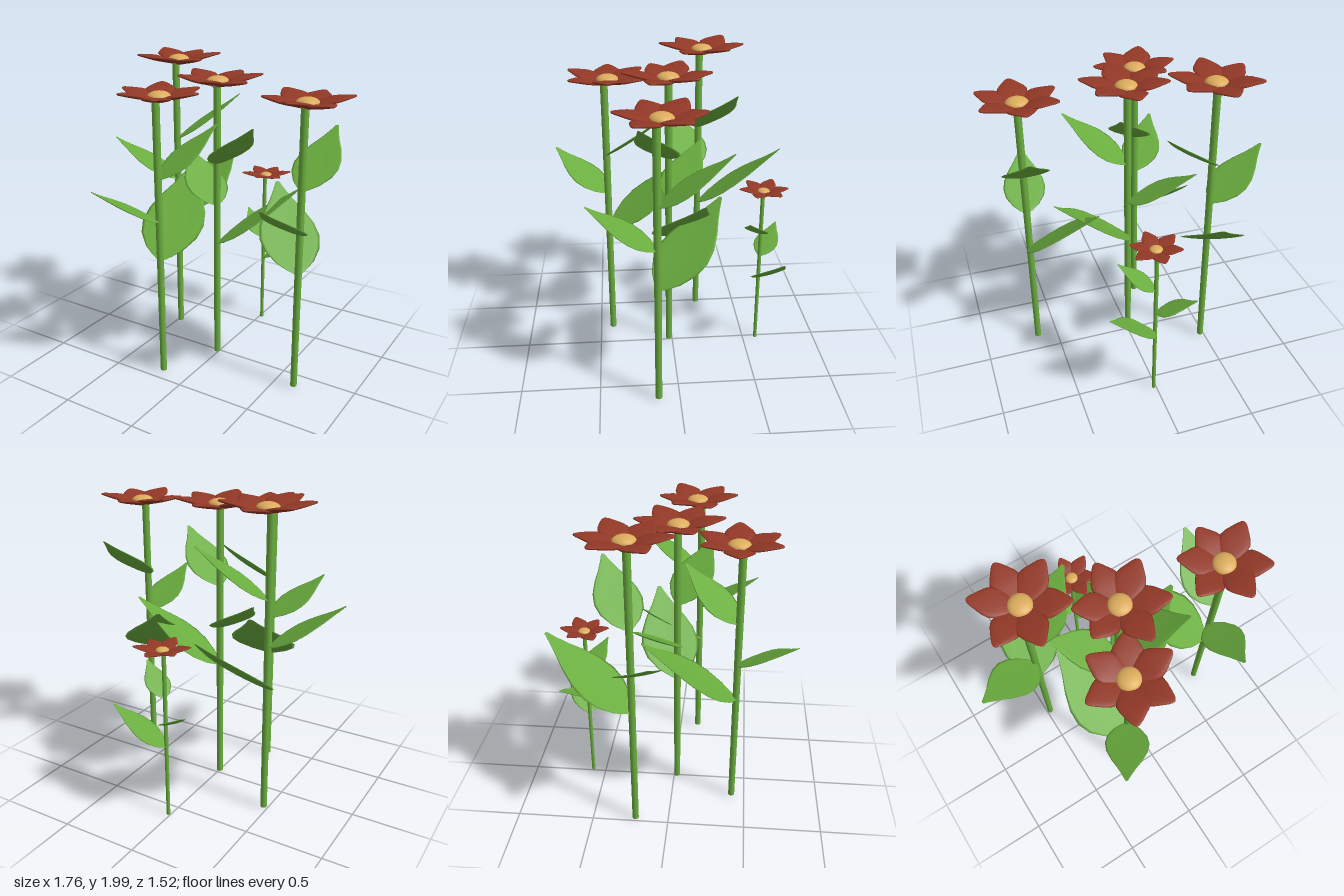
import * as THREE from 'three';

const V = (x, y, z) => new THREE.Vector3(x, y, z);
const green = new THREE.MeshStandardMaterial({ name: 'leaf green', color: 0x6aad3e });
const red = new THREE.MeshStandardMaterial({ name: 'petal red', color: 0x923826 });
const gold = new THREE.MeshStandardMaterial({ name: 'centre gold', color: 0xdcac5c });

// half-width along the blade: [position, fraction of the widest]
const LEAF = [[0, 0.08], [0.05, 0.32], [0.12, 0.6], [0.25, 0.9], [0.38, 1], [0.52, 0.92], [0.67, 0.68], [0.8, 0.4], [0.91, 0.2], [1, 0.06]];
const PETAL = [[0, 0.4], [0.2, 0.7], [0.4, 0.96], [0.53, 1], [0.66, 0.85], [0.8, 0.58], [0.92, 0.34], [0.98, 0.18], [1, 0.06]];

// closed, gently cupped blade swept from base to tip with a lens cross-section
function blade(base, tip, profile, halfWidth, halfThick, cup, sag) {
  const N = 14, pos = [], idx = [];
  const dir = tip.clone().sub(base).normalize();
  const side = dir.clone().cross(V(0, 1, 0)).normalize();
  const up = side.clone().cross(dir);
  const mid = base.clone().lerp(tip, 0.5).addScaledVector(up, sag);
  const path = new THREE.QuadraticBezierCurve3(base, mid, tip);
  for (const [u, f] of profile) {
    const c = path.getPoint(u), w = f * halfWidth, t = halfThick * Math.sqrt(f);
    for (let i = 0; i < N; i++) {
      const a = (i / N) * Math.PI * 2, k = Math.cos(a);
      const p = c.clone().addScaledVector(side, k * w).addScaledVector(up, Math.sin(a) * t + cup * k * k * w);
      pos.push(p.x, p.y, p.z);
    }
  }
  const rows = profile.length;
  for (let r = 0; r < rows - 1; r++) {
    for (let i = 0; i < N; i++) {
      const a = r * N + i, b = r * N + (i + 1) % N;
      idx.push(a, a + N, b, b, a + N, b + N);
    }
  }
  // end caps
  const last = (rows - 1) * N;
  for (let i = 1; i < N - 1; i++) {
    idx.push(0, i, i + 1, last, last + i + 1, last + i);
  }
  const g = new THREE.BufferGeometry();
  g.setAttribute('position', new THREE.Float32BufferAttribute(pos, 3));
  g.setIndex(idx);
  g.computeVertexNormals();
  return g;
}

function add(group, name, geometry, material) {
  const m = new THREE.Mesh(geometry, material);
  m.name = name;
  group.add(m);
  return m;
}

// stem [x, z], head [x, y, z], petal tips relative to the head, leaves [base y, tip x, tip y, tip z]
const PLANTS = [
  { name: 'tallFlower', stem: [-0.475, -0.217], head: [-0.46, 1.925, -0.23], size: 1,
    tips: [[0, -0.275], [0.235, -0.145], [0.245, 0.14], [-0.015, 0.28], [-0.23, 0.145], [-0.228, -0.16]],
    leaves: [[1.12, -0.885, 1.4, -0.06], [1.41, -0.1, 1.725, -0.42], [0.85, -0.31, 1.29, -0.755]] },
  { name: 'middleFlower', stem: [-0.007, 0.022], head: [0, 1.86, 0.025], size: 1,
    tips: [[0.01, -0.27], [0.225, -0.16], [0.26, 0.12], [0.03, 0.28], [-0.23, 0.095], [-0.24, -0.1]],
    leaves: [[1.36, 0.352, 1.67, 0.22], [0.82, 0.51, 1.25, -0.15], [1.08, -0.37, 1.35, -0.22]] },
  { name: 'frontFlower', stem: [-0.185, 0.413], head: [-0.175, 1.81, 0.39], size: 1,
    tips: [[0.13, -0.23], [0.27, 0], [0.13, 0.235], [-0.11, 0.245], [-0.265, 0], [-0.13, -0.215]],
    leaves: [[1.06, -0.415, 1.31, 0.755], [1.33, 0.02, 1.63, 0.07], [0.8, -0.33, 1.25, -0.17]] },
  { name: 'leftFlower', stem: [0.635, 0.133], head: [0.637, 1.81, 0.105], size: 1,
    tips: [[-0.01, -0.255], [0.23, -0.14], [0.22, 0.16], [0, 0.265], [-0.245, 0.095], [-0.22, -0.15]],
    leaves: [[1.05, 0.575, 1.31, 0.535], [1.32, 0.66, 1.63, -0.29], [0.79, 0.272, 1.21, -0.275]] },
  { name: 'smallFlower', stem: [0.015, -0.59], head: [0.022, 1.117, -0.592], size: 0.57,
    tips: [[0.005, -0.16], [0.15, -0.085], [0.14, 0.07], [0.015, 0.16], [-0.145, 0.085], [-0.137, -0.08]],
    leaves: [[0.82, 0.22, 0.985, -0.475], [0.49, 0.333, 0.745, -0.685], [0.65, -0.195, 0.8, -0.735]] },
];

function createPlant({ name, stem, head, size, tips, leaves }) {
  const plant = new THREE.Group();
  plant.name = name;
  const [sx, sz] = stem, [hx, hy, hz] = head;

  // stem
  const bottom = size < 1 ? 0 : 0.01, top = hy + 0.01 * size;
  const tube = new THREE.CylinderGeometry(0.024 * size, 0.021 * size, top - bottom, 16);
  add(plant, 'stem', tube, green).position.set(sx, (top + bottom) / 2, sz);

  // leaves
  leaves.forEach(([y, tx, ty, tz], i) => {
    const base = V(sx, y, sz), tip = V(tx, ty, tz);
    const len = base.distanceTo(tip);
    add(plant, 'leaf' + (i + 1), blade(base, tip, LEAF, 0.28 * len, 0.008, 0.06, -0.04 * len), green);
  });

  // flower head
  const bloom = new THREE.Group();
  bloom.name = 'flowerHead';
  bloom.position.set(hx, hy, hz);
  plant.add(bloom);
  tips.forEach(([x, z], i) => {
    const base = V(x * 0.08, (i % 2) * 0.006 * size, z * 0.08);
    const tip = V(x, (0.052 + (i % 2) * 0.012) * size, z);
    add(bloom, 'petal' + (i + 1), blade(base, tip, PETAL, 0.09 * size, 0.014 * size, 0.05, 0.008 * size), red);
  });
  const disc = add(bloom, 'flowerCentre', new THREE.SphereGeometry(0.07 * size, 24, 14), gold);
  disc.scale.y = 0.5;
  disc.position.y = 0.022 * size;
  return plant;
}

export function createModel() {
  const model = new THREE.Group();
  model.name = 'flowers';
  for (const p of PLANTS) model.add(createPlant(p));
  return model;
}
